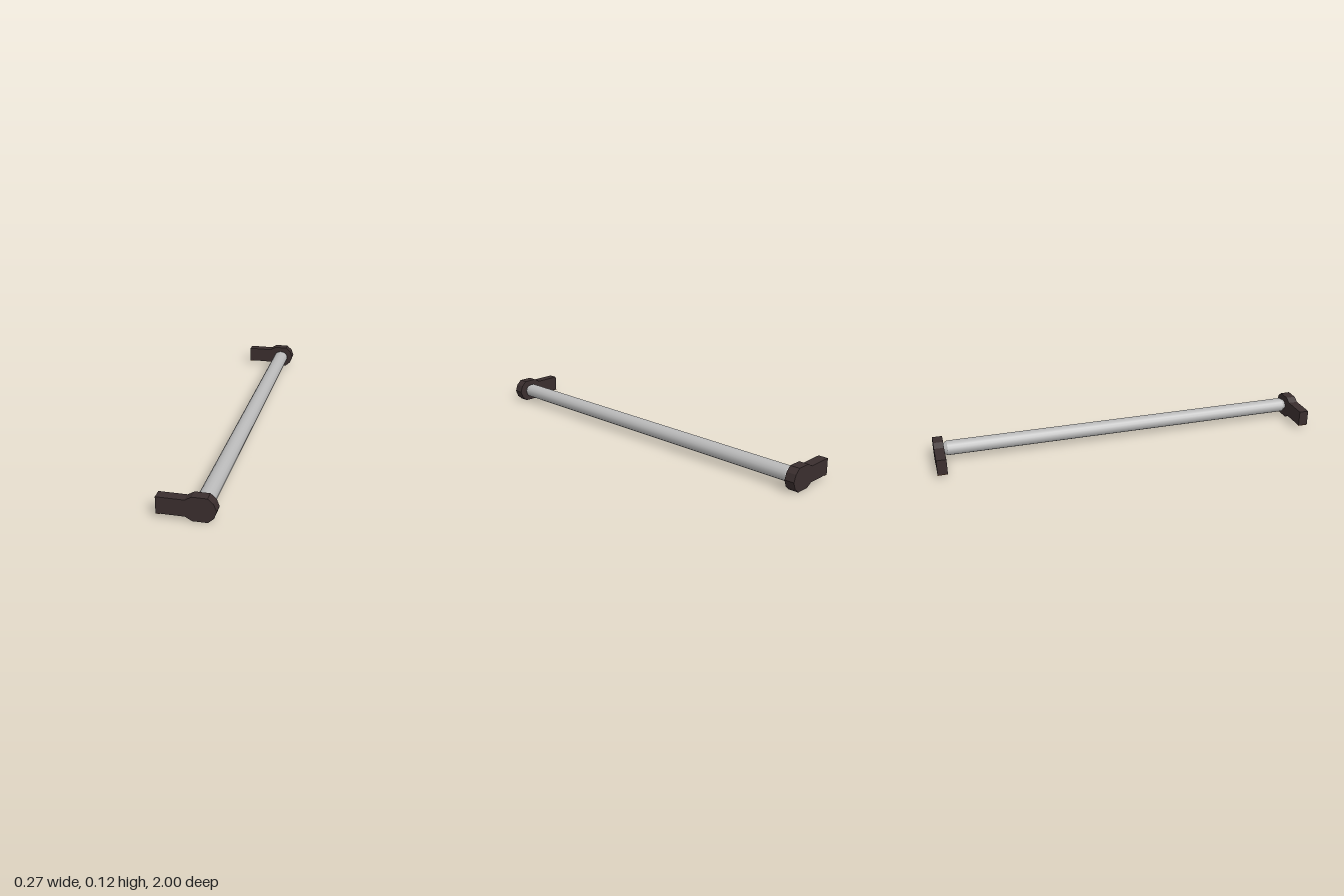
import * as THREE from 'three';

const bracketMat = new THREE.MeshStandardMaterial({ color: 0x3a2e2e });
bracketMat.name = 'darkBrown';
const steelMat = new THREE.MeshStandardMaterial({ color: 0xbababa });
steelMat.name = 'lightGrey';
const tipMat = new THREE.MeshStandardMaterial({ color: 0x6a3c14 });
tipMat.name = 'rustBrown';

const MID_Y = 0.06;
const BAR_X = 0.065;

// Flat bracket: straight arm widening into a faceted round head
function makeBracketGeometry() {
  const upper = [
    [-0.135, 0.04], [-0.005, 0.04], [0.026, 0.058],
    [0.095, 0.058], [0.121, 0.035], [0.134, 0],
  ];
  const lower = upper.slice(0, -1).reverse().map(([x, y]) => [x, -y]);
  const outline = [...upper, ...lower].map(([x, y]) => new THREE.Vector2(x, y + 0.058));
  return new THREE.ExtrudeGeometry(new THREE.Shape(outline), { depth: 0.05, bevelEnabled: false });
}

// Round bar along z with short tapered ends
function makeBarPart(name, rBack, rFront, z0, z1) {
  const geo = new THREE.CylinderGeometry(rFront, rBack, z1 - z0, 16, 1, true);
  geo.rotateX(Math.PI / 2);
  geo.scale(1, 0.9, 1);
  const mesh = new THREE.Mesh(geo, steelMat);
  mesh.name = name;
  mesh.position.set(BAR_X, MID_Y, (z0 + z1) / 2);
  return mesh;
}

export function createModel() {
  const model = new THREE.Group();
  model.name = 'pullHandle';

  const R = 0.041, END = 0.028, SHOULDER = 0.932, INNER = 0.951;
  model.add(makeBarPart('bar', R, R, -SHOULDER, SHOULDER));
  model.add(makeBarPart('frontBarTaper', R, END, SHOULDER, INNER));
  model.add(makeBarPart('backBarTaper', END, R, -INNER, -SHOULDER));

  const bracketGeo = makeBracketGeometry();
  const tipGeo = new THREE.BoxGeometry(0.02, 0.003, 0.05);
  for (const [side, z] of [['front', 0.95], ['back', -1]]) {
    const bracket = new THREE.Mesh(bracketGeo, bracketMat);
    bracket.name = side + 'Bracket';
    bracket.position.z = z;
    model.add(bracket);

    // Worn strip under the arm tip
    const tip = new THREE.Mesh(tipGeo, tipMat);
    tip.name = side + 'ArmTip';
    tip.position.set(-0.1255, 0.0175, z + 0.025);
    model.add(tip);
  }
  return model;
}
